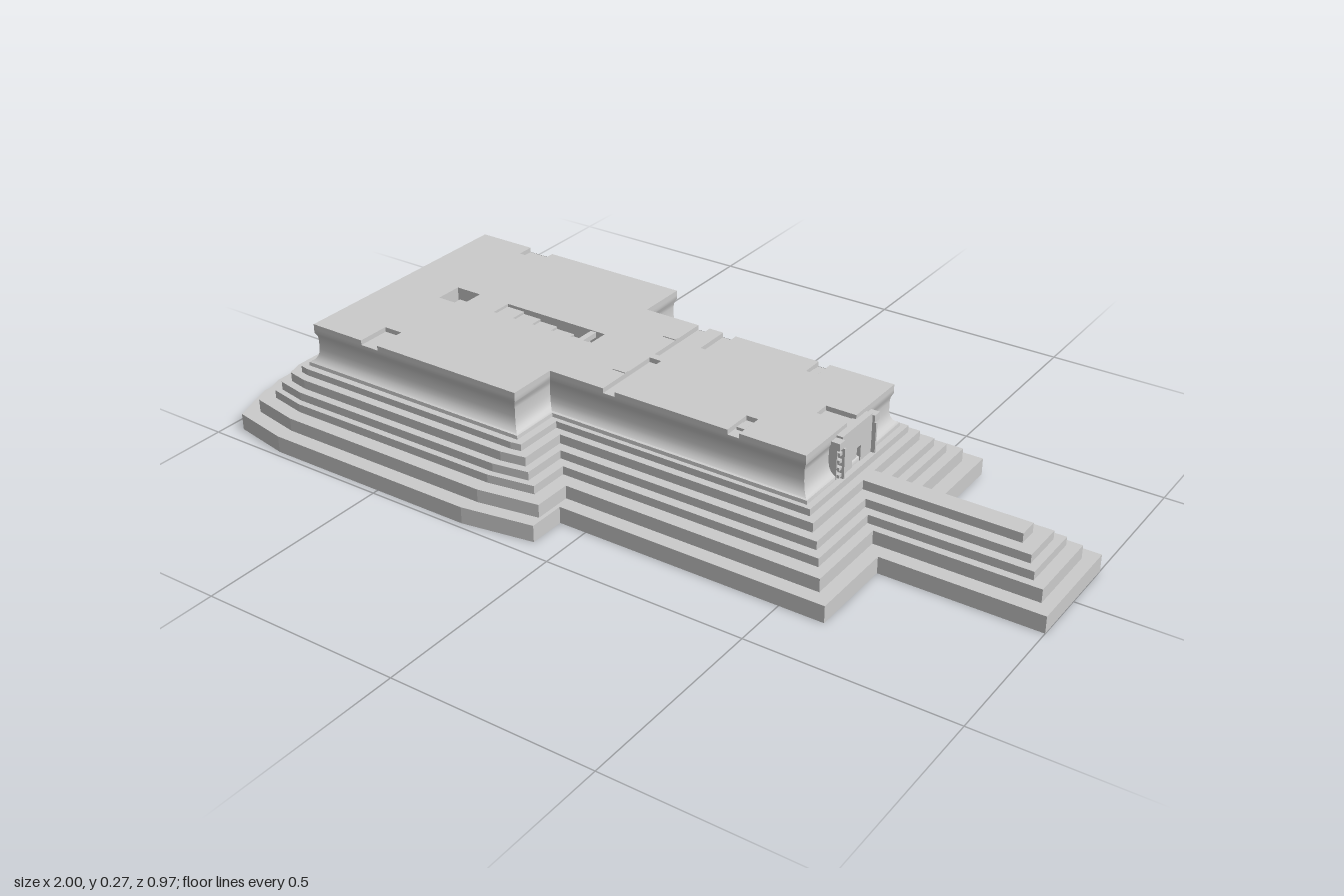
import * as THREE from 'three';
import { toCreasedNormals } from 'three/addons/utils/BufferGeometryUtils.js';

const material = new THREE.MeshStandardMaterial({ color: 0xcccccc, side: THREE.DoubleSide });

// Plan ring: wide hall, narrower body, causeway; f scales the rounded corners
function plan(L, W, notch, B, bodyX, N, endX, f) {
  const half = [
    [L, W - 0.145 * f], [L + 0.04 * f, W - 0.03 * f], [L + 0.19 * f, W],
    [notch - 0.18 * f, W], [notch, W - 0.03 * f], [notch, B],
    [bodyX, B], [bodyX, N], [endX, N],
  ];
  return [...half, ...half.map(([x, z]) => [x, -z]).reverse()];
}
const hallPlan = (o) => plan(-0.82 - o, 0.313 + o, -0.225 + o, 0.185 + o, 0.45 + o, 0.02, 0.45 + o, 0);
const rect = (x0, x1, z0, z1) => [[x0, z1], [x1, z1], [x1, z0], [x0, z0]];

// Joins closed rings [{ y, ring }] with quads
function loft(levels) {
  const pos = [];
  for (let k = 0; k + 1 < levels.length; k++) {
    const a = levels[k], b = levels[k + 1], n = a.ring.length;
    for (let i = 0; i < n; i++) {
      const j = (i + 1) % n;
      const p = [[a, i], [a, j], [b, j], [a, i], [b, j], [b, i]];
      const same = (s) => s.ring[i][0] === s.ring[j][0] && s.ring[i][1] === s.ring[j][1];
      if (same(a) && same(b)) continue;
      for (const [s, q] of p) pos.push(s.ring[q][0], s.y, s.ring[q][1]);
    }
  }
  const g = new THREE.BufferGeometry();
  g.setAttribute('position', new THREE.Float32BufferAttribute(pos, 3));
  g.computeVertexNormals();
  return g;
}

const toShape = (ring) => new THREE.Shape(ring.map(([x, z]) => new THREE.Vector2(x, z)));

// Horizontal sheet, or slab when depth is given, with its top at y
function sheet(ring, y, holes = [], depth = 0) {
  const shape = toShape(ring);
  shape.holes = holes.map((h) => toShape(rect(...h)));
  const g = depth
    ? new THREE.ExtrudeGeometry(shape, { depth, bevelEnabled: false })
    : new THREE.ShapeGeometry(shape);
  return g.rotateX(Math.PI / 2).translate(0, y, 0);
}

export function createModel() {
  const model = new THREE.Group();
  const add = (name, geometry, parent = model) => {
    const mesh = new THREE.Mesh(geometry, material);
    mesh.name = name;
    parent.add(mesh);
    return mesh;
  };
  const box = (name, x0, x1, y0, y1, z0, z1, parent) =>
    add(name, new THREE.BoxGeometry(x1 - x0, y1 - y0, z1 - z0)
      .translate((x0 + x1) / 2, (y0 + y1) / 2, (z0 + z1) / 2), parent);

  // Stepped terraces: bottom, top, then the plan values
  const tiers = [
    [0, 0.042, -1, 0.485, -0.07, 0.36, 0.61, 0.138, 1, 1],
    [0.042, 0.075, -0.965, 0.447, -0.08, 0.323, 0.575, 0.1, 0.97, 0.85],
    [0.075, 0.096, -0.93, 0.411, -0.115, 0.287, 0.55, 0.08, 0.94, 0.65],
    [0.096, 0.117, -0.912, 0.394, -0.14, 0.262, 0.53, 0.056, 0.92, 0.5],
    [0.117, 0.14, -0.888, 0.373, -0.16, 0.237, 0.505, 0.025, 0.885, 0.35],
    [0.14, 0.157, -0.86, 0.35, -0.185, 0.217, 0.485, 0.024, 0.485, 0.15],
  ];
  const steps = [];
  for (const [y0, y1, ...values] of tiers) {
    const ring = plan(...values);
    steps.push({ y: y0, ring }, { y: y1, ring });
  }
  steps.push({ y: 0.157, ring: hallPlan(0.02) });
  add('terraces', loft(steps));

  // Hall walls with a flared foot and a cove under the cornice
  const profile = [
    [0.157, 0.02], [0.166, 0.019], [0.168, 0.014], [0.175, 0.007], [0.185, 0.002], [0.2, 0],
    [0.222, 0], [0.232, 0.001], [0.239, 0.004], [0.243, 0.006], [0.253, 0.006],
  ];
  add('hallWalls', toCreasedNormals(loft(profile.map(([y, o]) => ({ y, ring: hallPlan(o) }))), 0.7));

  // Roof slab; its outline is notched along the edges [x0, x1, inner z]
  const eW = 0.319, eB = 0.191, x0 = -0.826, xs = -0.219, x1 = 0.456;
  const side = (wide, body) => [
    [x0, eW],
    ...wide.flatMap(([a, b, z]) => [[a, eW], [a, z], [b, z], [b, eW]]),
    [xs, eW], [xs, eB],
    ...body.flatMap(([a, b, z]) => [[a, eB], [a, z], [b, z], [b, eB]]),
    [x1, eB],
  ];
  const front = side([[-0.675, -0.625, 0.235]], [[-0.07, -0.038, 0.01], [0.26, 0.29, 0.115]]);
  const back = side([[-0.675, -0.605, 0.275]],
    [[-0.07, -0.038, 0.01], [0.0, 0.035, 0.095], [0.26, 0.29, 0.135]]);
  const outline = [
    ...front, [x1, 0.02], [0.38, 0.02], [0.38, -0.02], [x1, -0.02],
    ...back.map(([x, z]) => [x, -z]).reverse(),
  ];
  const stairwell = [-0.515, -0.225, -0.027, 0.027];
  const shaft = [-0.675, -0.605, -0.03, 0.04];
  add('roofSlab', sheet(outline, 0.265, [stairwell, shaft], 0.012));
  add('roofBase', sheet(hallPlan(0.005), 0.2529, [stairwell, shaft]));

  // Roof openings with their lining
  for (const [name, r] of [['stairwell', stairwell], ['roofShaft', shaft]]) {
    add(name + 'Lining', loft([{ y: 0.225, ring: rect(...r) }, { y: 0.254, ring: rect(...r) }]));
    add(name + 'Floor', sheet(rect(...r), 0.225));
  }
  for (let i = 0; i < 5; i++) {
    box('stair', -0.515 + i * 0.05, -0.465 + i * 0.05, 0.225, 0.258 - i * 0.006, -0.026, 0.026);
  }
  box('shaftCorner', -0.628, -0.605, 0.226, 0.264, 0.018, 0.04);
  box('roofLintel', -0.265, -0.25, 0.25, 0.263, -0.027, 0.027);

  // Small kerbs beside the cross channel and inside the notches
  for (const s of [-1, 1]) {
    box('channelKerb', -0.105, -0.07, 0.262, 0.267, s * 0.1 - 0.006, s * 0.1 + 0.006);
    box('notchBlock', 0.265, 0.285, 0.253, 0.26, s * 0.15 - 0.012, s * 0.15 + 0.012);
  }

  // Entrance panel with a doorway
  const entrance = new THREE.Group();
  entrance.name = 'entrance';
  model.add(entrance);
  const panel = toShape([[-0.065, 0.14], [0.065, 0.14], [0.065, 0.255], [-0.065, 0.255]]);
  panel.holes = [toShape([[-0.018, 0.143], [-0.018, 0.197], [0.018, 0.197], [0.018, 0.143]])];
  add('entrancePanel', new THREE.ExtrudeGeometry(panel, { depth: 0.025, bevelEnabled: false })
    .rotateY(Math.PI / 2).translate(0.447, 0, 0), entrance);
  box('door', 0.45, 0.466, 0.143, 0.192, -0.012, 0.012, entrance);

  // Stacked brackets on both sides of the entrance
  for (const s of [-1, 1]) {
    const bracket = (a, b, y0, y1, x) =>
      box('sideBracket', 0.45, x, y0, y1, Math.min(s * a, s * b), Math.max(s * a, s * b), entrance);
    bracket(0.065, 0.087, 0.232, 0.25, 0.478);
    bracket(0.065, 0.071, 0.157, 0.232, 0.482);
    bracket(0.079, 0.084, 0.157, 0.232, 0.47);
    for (let i = 0; i < 4; i++) bracket(0.068, 0.082, 0.162 + i * 0.018, 0.17 + i * 0.018, 0.476);
  }

  // Underside floor with three recessed chambers
  const chambers = [-0.23, 0, 0.23].map((z) => [-0.76, -0.56, z - 0.075, z + 0.075]);
  add('underFloor', sheet(hallPlan(0.02), 0.156, chambers));
  for (const c of chambers) {
    add('chamberWalls', loft([{ y: 0.156, ring: rect(...c) }, { y: 0.185, ring: rect(...c) }]));
    add('chamberCeiling', sheet(rect(...c), 0.185));
  }
  return model;
}
